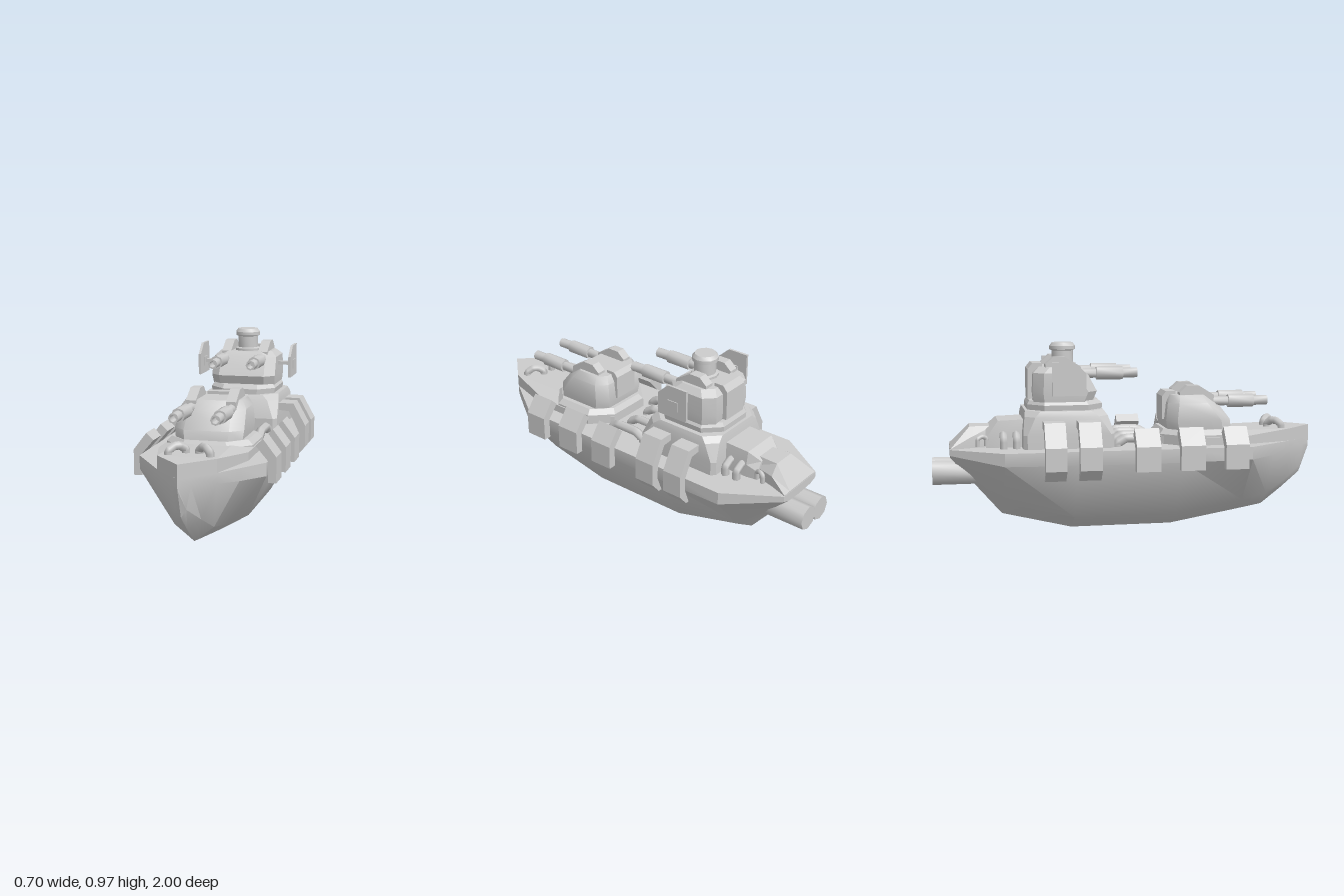
import * as THREE from 'three';
import { toCreasedNormals } from 'three/addons/utils/BufferGeometryUtils.js';

const grey = new THREE.MeshStandardMaterial({ color: 0xcccccc, side: THREE.DoubleSide });
const V = (x, y, z) => new THREE.Vector3(x, y, z);

// Closed solid through equal-length rings of points, wound outwards
function loft(rings, crease = 0.6) {
  const tris = [], n = rings[0].length;
  const tri = (a, b, c) => {
    if (V().crossVectors(b.clone().sub(a), c.clone().sub(a)).length() > 1e-7) tris.push([a, b, c]);
  };
  for (let i = 0; i < rings.length - 1; i++) {
    for (let j = 0; j < n; j++) {
      const k = (j + 1) % n, [p, q] = [rings[i], rings[i + 1]];
      tri(p[j], p[k], q[k]);
      tri(p[j], q[k], q[j]);
    }
  }
  const cap = (ring, flip) => {
    const c = ring.reduce((s, p) => s.add(p), V(0, 0, 0)).divideScalar(n);
    ring.forEach((p, j) => {
      const q = ring[(j + 1) % n];
      flip ? tri(c, q, p) : tri(c, p, q);
    });
  };
  cap(rings[0], true);
  cap(rings.at(-1), false);
  const volume = tris.reduce((s, [a, b, c]) => s + a.dot(V().crossVectors(b, c)), 0);
  const pts = tris.flatMap(t => (volume < 0 ? t.reverse() : t));
  return toCreasedNormals(new THREE.BufferGeometry().setFromPoints(pts), crease);
}

// Chamfered rectangular levels: [y, half width, front z, back z, front chamfer, back chamfer]
const tower = (levels, crease) => loft(levels.map(([y, w, f, b, cf, cb = cf]) => [
  V(w, y, b + cb), V(w, y, f - cf), V(w - cf, y, f), V(cf - w, y, f),
  V(-w, y, f - cf), V(-w, y, b + cb), V(cb - w, y, b), V(w - cb, y, b),
]), crease);

// Side profile of [z, y] points, given thickness across x
function slab(points, width) {
  const shape = new THREE.Shape(points.map(([z, y]) => new THREE.Vector2(-z, y)));
  return new THREE.ExtrudeGeometry(shape, { depth: width, bevelEnabled: false })
    .translate(0, 0, -width / 2).rotateY(Math.PI / 2);
}

// Cylinder along z between z0 and z1
const rod = (r, z0, z1, sides = 8) =>
  toCreasedNormals(new THREE.CylinderGeometry(r, r, z1 - z0, sides).rotateX(Math.PI / 2).translate(0, 0, (z0 + z1) / 2), 0.9);

// Low arched pipe of given length along z, ends on y = 0
function arch(length, height, r) {
  const h = length / 2 - r, top = height - r, c = Math.min(h * 0.7, top);
  const path = new THREE.CurvePath();
  const p = [V(0, 0, -h), V(0, top - c * 0.6, -h), V(0, top, c - h), V(0, top, h - c), V(0, top - c * 0.6, h), V(0, 0, h)];
  for (let i = 0; i < 5; i++) path.add(new THREE.LineCurve3(p[i], p[i + 1]));
  return new THREE.TubeGeometry(path, 16, r, 6);
}

function add(parent, name, geometry, x = 0, y = 0, z = 0, ry = 0) {
  const mesh = new THREE.Mesh(geometry, grey);
  mesh.name = name;
  mesh.position.set(x, y, z);
  mesh.rotation.y = ry;
  parent.add(mesh);
  return mesh;
}

function group(parent, name, y = 0, z = 0) {
  const g = new THREE.Group();
  g.name = name;
  g.position.set(0, y, z);
  parent.add(g);
  return g;
}

// Twin guns: origin on the barrel axis at the back of the barrels
function addGuns(parent, y, z) {
  const guns = group(parent, 'twinGuns', y, z);
  for (const x of [-0.1, 0.1]) {
    add(guns, 'gunMount', slab([[-0.13, 0], [-0.13, 0.05], [-0.09, 0.085], [-0.03, 0.085], [0.05, 0.035], [0.05, -0.04], [-0.06, -0.04]], 0.05), x);
    add(guns, 'barrelBase', rod(0.024, -0.06, 0.14), x);
    add(guns, 'barrelSleeve', rod(0.034, 0.13, 0.265), x);
    // Hollow muzzle
    const muzzle = [[0.01, 0.25], [0.025, 0.25], [0.025, 0.34], [0.017, 0.34], [0.014, 0.28], [0, 0.28]]
      .map(([r, l]) => new THREE.Vector2(r, l));
    add(guns, 'muzzle', toCreasedNormals(new THREE.LatheGeometry(muzzle, 8).rotateX(Math.PI / 2), 0.9), x);
  }
}

export function createModel() {
  const ship = new THREE.Group();
  ship.name = 'gunboat';

  // Hull stations: [z, keel y, chine x, chine y, side x, side y]
  const stations = [
    [1, 0.4, 0, 0.4, 0, 0.42], [0.95, 0.26, 0.025, 0.3, 0.047, 0.41], [0.85, 0.175, 0.065, 0.23, 0.14, 0.4],
    [0.74, 0.09, 0.095, 0.165, 0.215, 0.39], [0.6, 0.065, 0.12, 0.14, 0.31, 0.385], [0.24, 0.003, 0.14, 0.085, 0.31, 0.38],
    [-0.29, 0.003, 0.14, 0.085, 0.31, 0.38], [-0.65, 0.09, 0.125, 0.17, 0.31, 0.385], [-0.91, 0.4, 0.1, 0.405, 0.14, 0.42],
  ];
  add(ship, 'hull', loft(stations.map(([z, k, cx, cy, x, y]) => [
    V(x, 0.45, z), V(x, y, z), V(cx, cy, z), V(0, k, z), V(-cx, cy, z), V(-x, y, z), V(-x, 0.45, z),
  ]), 0.55));

  // Raised foredeck: [z, half width, edge y, top half width, top y]
  add(ship, 'foredeck', loft([
    [1, 0, 0.515, 0, 0.515], [0.85, 0.14, 0.515, 0.14, 0.515], [0.58, 0.22, 0.49, 0.13, 0.51],
    [0.3, 0.22, 0.49, 0.13, 0.505], [0.16, 0.12, 0.49, 0.08, 0.5],
  ].map(([z, w, e, t, y]) => [V(w, 0.44, z), V(w, e, z), V(t, y, z), V(-t, y, z), V(-w, e, z), V(-w, 0.44, z)]), 0.2));

  // Front turret
  const front = group(ship, 'frontTurret');
  add(front, 'turretRing', tower([[0.45, 0.215, 0.57, 0.16, 0.1], [0.5, 0.215, 0.57, 0.16, 0.1], [0.525, 0.19, 0.55, 0.18, 0.09]], 0.3));
  add(front, 'turretBody', tower([
    [0.515, 0.165, 0.54, 0.2, 0.06, 0.05], [0.57, 0.172, 0.53, 0.19, 0.06, 0.05],
    [0.66, 0.165, 0.46, 0.2, 0.06, 0.05], [0.7, 0.14, 0.42, 0.22, 0.05, 0.04],
  ], 0.7));
  add(front, 'rearLocker', slab([[0.25, 0.57], [0.18, 0.57], [0.18, 0.69], [0.2, 0.715], [0.25, 0.715]], 0.14));
  addGuns(front, 0.663, 0.39);

  // Superstructure under the rear turret
  add(ship, 'superstructure', tower([
    [0.44, 0.21, -0.09, -0.55, 0.02], [0.52, 0.21, -0.09, -0.55, 0.02], [0.61, 0.205, -0.12, -0.54, 0.05], [0.638, 0.195, -0.14, -0.535, 0.07],
  ], 0.3));

  // Rear turret
  const rear = group(ship, 'rearTurret');
  add(rear, 'turretRing', tower([[0.63, 0.17, -0.14, -0.52, 0.08], [0.665, 0.175, -0.14, -0.52, 0.08], [0.685, 0.16, -0.16, -0.51, 0.07]], 0.3));
  add(rear, 'turretBody', tower([
    [0.68, 0.168, -0.19, -0.49, 0.05], [0.73, 0.173, -0.17, -0.495, 0.05],
    [0.825, 0.17, -0.22, -0.49, 0.05], [0.853, 0.14, -0.25, -0.46, 0.05],
  ], 0.5));
  add(rear, 'rearLocker', slab([[-0.44, 0.69], [-0.515, 0.69], [-0.515, 0.84], [-0.49, 0.87], [-0.44, 0.87]], 0.14));
  addGuns(rear, 0.818, -0.3);
  const dome = [[0, 0.84], [0.068, 0.84], [0.068, 0.865], [0.055, 0.87], [0.055, 0.93], [0.066, 0.935], [0.066, 0.953], [0.053, 0.97], [0, 0.97]]
    .map(([r, y]) => new THREE.Vector2(r, y));
  add(rear, 'periscope', toCreasedNormals(new THREE.LatheGeometry(dome, 12), 0.6), 0, 0, -0.33);

  // Shields on arms beside the rear turret
  for (const s of [-1, 1]) {
    add(rear, 'shieldArm', new THREE.BoxGeometry(0.1, 0.018, 0.03), s * 0.2, 0.787, -0.33);
    add(rear, 'shieldBoss', new THREE.BoxGeometry(0.024, 0.05, 0.06), s * 0.247, 0.785, -0.33);
    add(rear, 'sideShield', slab([[-0.24, 0.72], [-0.24, 0.83], [-0.3, 0.885], [-0.41, 0.885], [-0.41, 0.72]], 0.013), s * 0.248);
  }

  // Bent armour plates over the deck edge, three short and two tall per side
  const shortPlate = [[0.31, 0.345], [0.35, 0.345], [0.35, 0.47], [0.285, 0.555], [0.25, 0.52], [0.31, 0.45]];
  const tallPlate = [[0.28, 0.303], [0.3, 0.303], [0.35, 0.36], [0.35, 0.475], [0.285, 0.592], [0.2, 0.592], [0.2, 0.555], [0.26, 0.55], [0.31, 0.45], [0.31, 0.38]];
  for (const s of [-1, 1]) {
    for (const [z0, z1, outline] of [[0.45, 0.57, shortPlate], [0.22, 0.345, shortPlate], [-0.005, 0.118, shortPlate],
      [-0.285, -0.175, tallPlate], [-0.455, -0.35, tallPlate]]) {
      const shape = new THREE.Shape(outline.map(([x, y]) => new THREE.Vector2(s * x, y)));
      add(ship, 'armourPlate', new THREE.ExtrudeGeometry(shape, { depth: z1 - z0, bevelEnabled: false }), 0, 0, z0);
    }
    // Arched pipes on the deck
    add(ship, 'bowCleat', arch(0.13, 0.06, 0.02), s * 0.065, 0.51, 0.785, s * 0.85);
    add(ship, 'deckPipe', arch(0.26, 0.07, 0.024), s * 0.168, 0.445, 0.03);
    add(ship, 'deckPipe', arch(0.22, 0.07, 0.022), s * 0.065, 0.445, 0.005);
    for (const z of [-0.58, -0.645]) add(ship, 'sternPipe', arch(0.14, 0.09, 0.02), s * 0.105, 0.445, z, Math.PI / 2);
    add(ship, 'sternCleat', arch(0.07, 0.06, 0.012), s * 0.11, 0.46, -0.75, s * -0.35);
    // Exhausts
    add(ship, 'exhaustPipe', rod(0.062, -1, -0.72), s * 0.054, 0.322);
  }

  // Aft cabin and stern housing: [z, base half width, top half width, top y]
  const housing = sections => loft(sections.map(([z, w, t, y]) => [
    V(w, 0.43, z), V(w, (0.45 + y) / 2, z), V(t, y, z), V(-t, y, z), V(-w, (0.45 + y) / 2, z), V(-w, 0.43, z),
  ]), 0.3);
  add(ship, 'aftCabin', housing([[-0.53, 0.11, 0.1, 0.59], [-0.67, 0.11, 0.1, 0.585], [-0.73, 0.1, 0.07, 0.54]]));
  add(ship, 'sternHousing', housing([[-0.69, 0.07, 0.055, 0.555], [-0.81, 0.1, 0.06, 0.555], [-0.908, 0.135, 0.09, 0.455]]));
  return ship;
}
